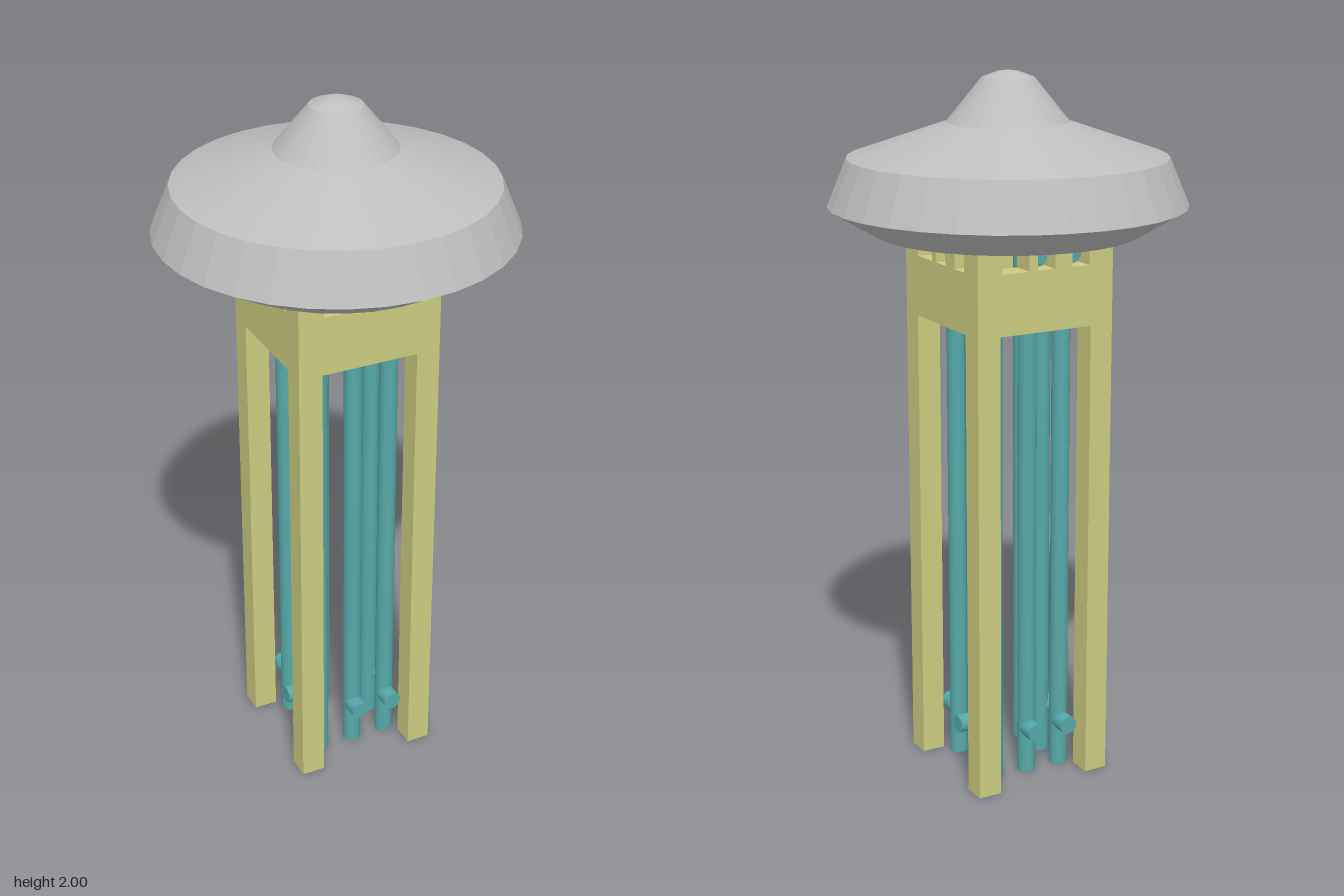
import * as THREE from 'three';

const mat = (name, color, extra = {}) => {
  const m = new THREE.MeshStandardMaterial({ color, ...extra });
  m.name = name;
  return m;
};

const OUT = 0.208, IN = 0.14;      // outer and inner half widths of the tower
const LEG = OUT - IN;
const BAND = 1.325, ROOF = 1.565;  // underside of the band, underside of the tank
const GRID = 0.107, R = 0.026;     // pipe spacing and radius

export function createModel() {
  const stone = mat('paleYellow', 0xcccc80);
  const teal = mat('teal', 0x56a8a8);
  const grey = mat('lightGrey', 0xbebebe, { flatShading: true });

  const model = new THREE.Group();
  model.name = 'waterTower';
  const add = (parent, name, geometry, material, x = 0, y = 0, z = 0) => {
    const mesh = new THREE.Mesh(geometry, material);
    mesh.name = name;
    mesh.position.set(x, y, z);
    parent.add(mesh);
    return mesh;
  };

  // Tank: faceted profile turned round the vertical axis
  const profile = [[0, ROOF], [0.365, ROOF], [0.492, 1.64], [0.438, 1.77],
    [0.167, 1.863], [0.072, 1.98], [0.03, 1.996], [0, 2]];
  add(model, 'tank', new THREE.LatheGeometry(
    profile.map(([r, y]) => new THREE.Vector2(r, y)), 32), grey);

  // Band panel with one wide and two narrow windows
  const rect = (Type, x0, y0, x1, y1) => {
    const p = new Type();
    p.moveTo(x0, y0);
    p.lineTo(x1, y0);
    p.lineTo(x1, y1);
    p.lineTo(x0, y1);
    p.closePath();
    return p;
  };
  const panelShape = rect(THREE.Shape, -IN, BAND, IN, ROOF);
  for (const [x0, x1] of [[-0.134, -0.052], [-0.027, 0.027], [0.08, 0.134]]) {
    panelShape.holes.push(rect(THREE.Path, x0, 1.493, x1, 1.547));
  }
  const panelGeo = new THREE.ExtrudeGeometry(panelShape, { depth: LEG, bevelEnabled: false });

  const legGeo = new THREE.BoxGeometry(LEG, ROOF, LEG);
  const pipeGeo = new THREE.CylinderGeometry(R, R, ROOF, 16);
  const stubGeo = new THREE.CylinderGeometry(R, R, 0.06, 16).rotateX(Math.PI / 2);

  // Each side: corner leg, band panel, two pipes with outward stubs
  for (let i = 0; i < 4; i++) {
    const side = new THREE.Group();
    side.name = 'side' + (i + 1);
    side.rotation.y = i * Math.PI / 2;
    model.add(side);
    const c = (OUT + IN) / 2;
    add(side, 'leg', legGeo, stone, c, ROOF / 2, c);
    add(side, 'bandPanel', panelGeo, stone, 0, 0, IN);
    for (const x of [0, GRID]) {
      add(side, 'pipe', pipeGeo, teal, x, ROOF / 2, GRID);
      add(side, 'lowerStub', stubGeo, teal, x, 0.136, GRID + 0.03);
      add(side, 'upperStub', stubGeo, teal, x, 1.52, GRID + 0.03);
    }
  }
  return model;
}
